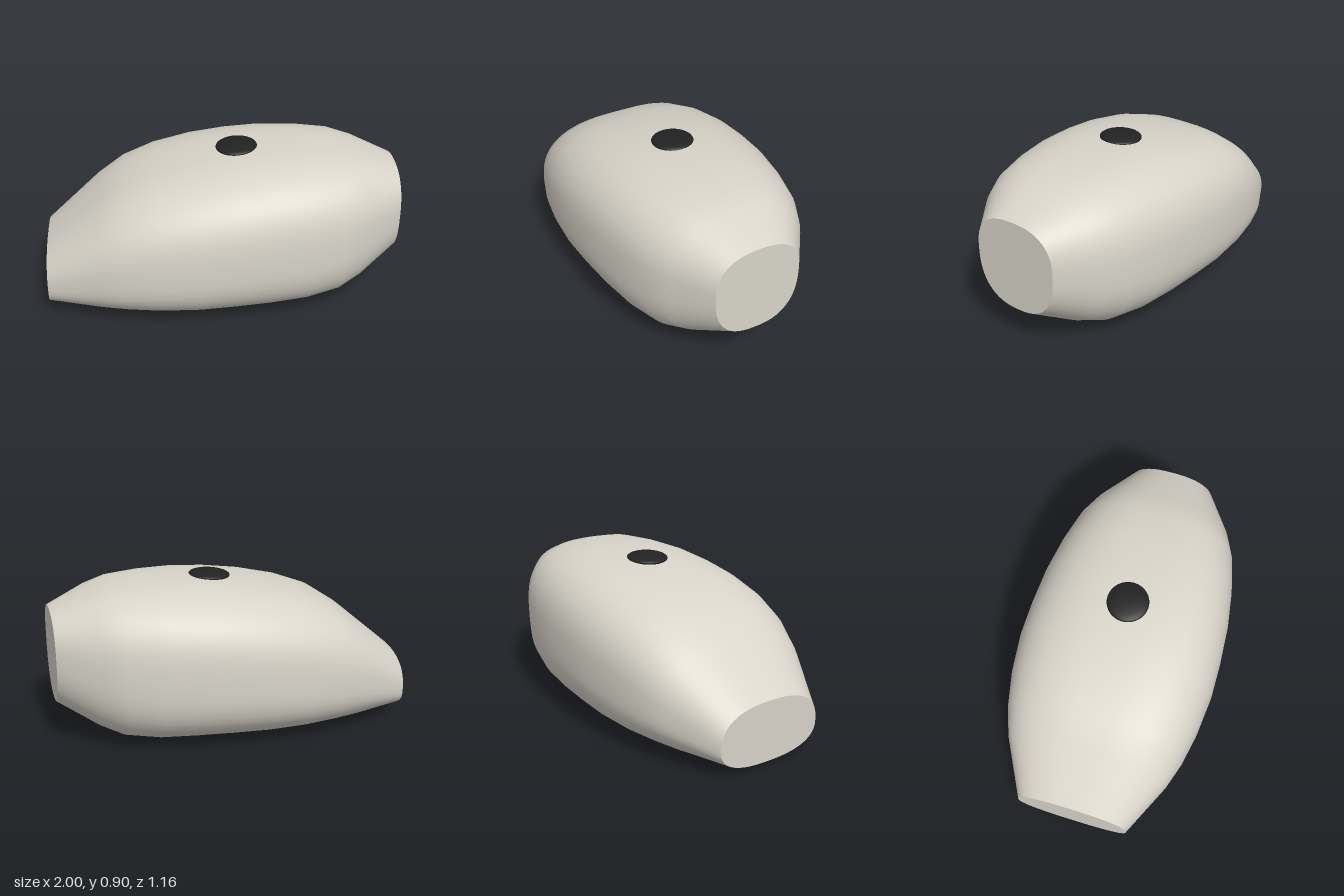
import * as THREE from 'three';

const SEGMENTS = 56;

// Stations along the body: x, bottom y, top y, half width, height fraction of the widest point, roundness
const STATIONS = [
  [-1.0, 0.03, 0.375, 0.325, 0.43, 2.5],
  [-0.7, 0.015, 0.63, 0.475, 0.44, 2.6],
  [-0.55, 0.01, 0.73, 0.525, 0.44, 2.7],
  [-0.37, 0.004, 0.795, 0.56, 0.45, 2.8],
  [-0.15, 0.001, 0.845, 0.58, 0.46, 2.8],
  [0.05, 0.003, 0.874, 0.575, 0.47, 2.8],
  [0.25, 0.006, 0.89, 0.56, 0.48, 2.8],
  [0.46, 0.01, 0.89, 0.525, 0.49, 2.8],
  [0.65, 0.032, 0.879, 0.475, 0.51, 2.7],
  [0.78, 0.09, 0.845, 0.41, 0.53, 2.6],
  [1.0, 0.23, 0.755, 0.25, 0.57, 2.5],
];

// One rounded cross-section as [x, y, z] points
function ring([x, bottom, top, halfWidth, fraction, power]) {
  const middle = bottom + (top - bottom) * fraction;
  const bend = (v) => Math.sign(v) * Math.pow(Math.abs(v), 2 / power);
  return Array.from({ length: SEGMENTS }, (_, i) => {
    const a = (i / SEGMENTS) * Math.PI * 2;
    const s = bend(Math.sin(a));
    return [x, middle + s * (s > 0 ? top - middle : middle - bottom), bend(Math.cos(a)) * halfWidth];
  });
}

function makeGeometry(points, index) {
  const geometry = new THREE.BufferGeometry();
  geometry.setAttribute('position', new THREE.Float32BufferAttribute(points.flat(), 3));
  geometry.setIndex(index);
  geometry.computeVertexNormals();
  return geometry;
}

// Smooth skin joining all the cross-sections
function skin(rings) {
  const index = [];
  for (let r = 0; r < rings.length - 1; r++) {
    for (let i = 0; i < SEGMENTS; i++) {
      const j = (i + 1) % SEGMENTS;
      const a = r * SEGMENTS + i, b = r * SEGMENTS + j;
      const c = a + SEGMENTS, d = b + SEGMENTS;
      index.push(a, c, b, b, c, d);
    }
  }
  return makeGeometry(rings.flat(), index);
}

// Flat end face
function cap(points, facesPlusX) {
  const index = [];
  for (let i = 1; i < SEGMENTS - 1; i++) {
    index.push(0, ...(facesPlusX ? [i + 1, i] : [i, i + 1]));
  }
  return makeGeometry(points, index);
}

export function createModel() {
  const model = new THREE.Group();
  model.name = 'roundedBody';
  const shell = new THREE.MeshStandardMaterial({ color: 0xd8d4c9 });
  shell.name = 'warm grey';
  const dark = new THREE.MeshStandardMaterial({ color: 0x222222 });
  dark.name = 'near black';

  const add = (name, geometry, material) => {
    const mesh = new THREE.Mesh(geometry, material);
    mesh.name = name;
    model.add(mesh);
    return mesh;
  };

  // Body with its two flat ends
  const rings = STATIONS.map(ring);
  add('bodyShell', skin(rings), shell);
  add('lowEnd', cap(rings[0], false), shell);
  add('highEnd', cap(rings[rings.length - 1], true), shell);

  // Shallow dome button on top
  const button = add('topButton', new THREE.SphereGeometry(1, 32, 16), dark);
  button.scale.set(0.117, 0.025, 0.117);
  button.position.set(0.09, 0.879, 0);
  button.rotation.z = 0.05;

  return model;
}
